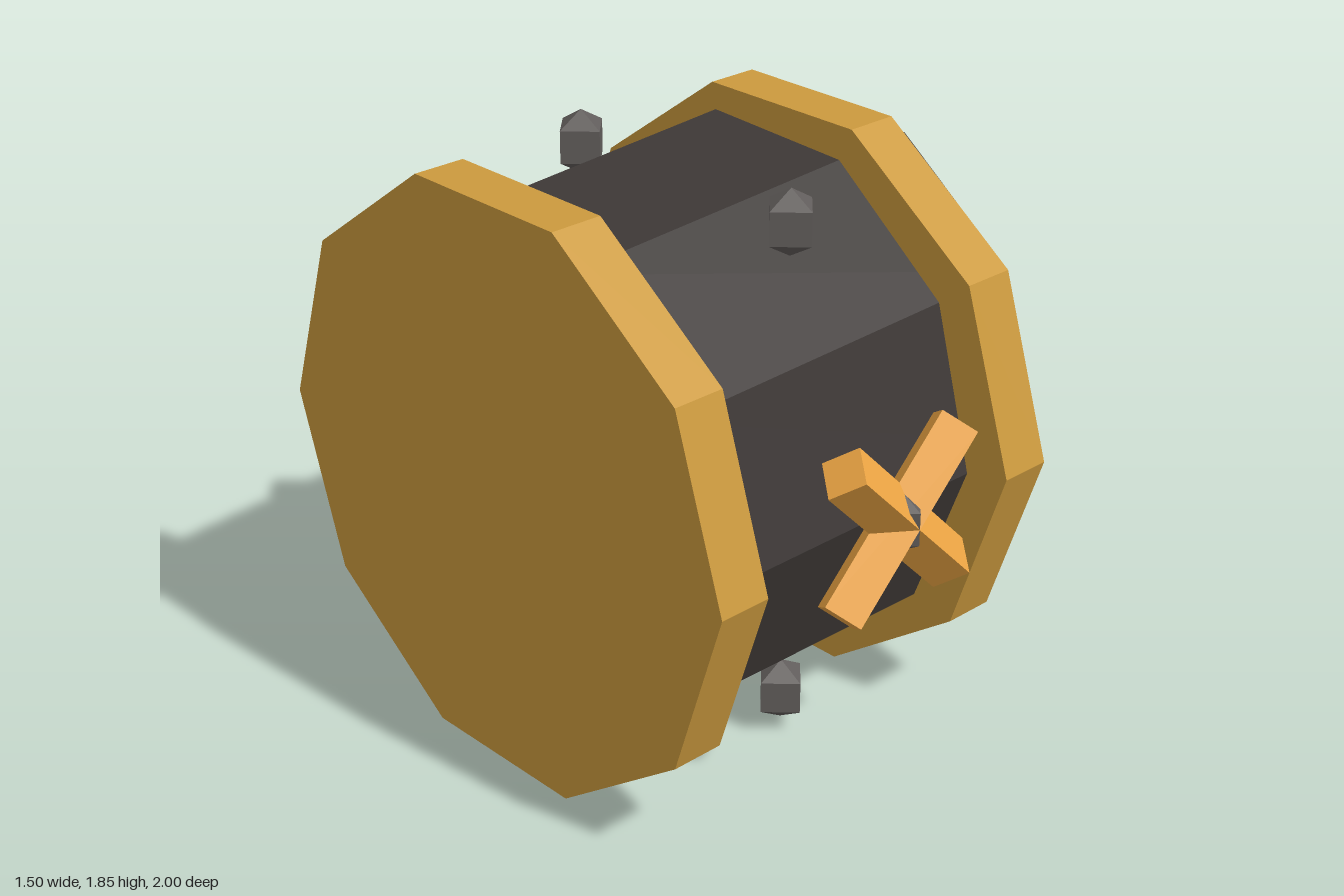
import * as THREE from 'three';

const material = (color) => new THREE.MeshStandardMaterial({ color, flatShading: true });

export function createModel() {
  const model = new THREE.Group();
  const dark = material(0x3d3836);
  const brass = material(0xcc9a3e);
  const gold = material(0xeea644);
  const iron = material(0x625e5c);
  const midY = 0.925;

  const add = (name, geometry, mat, x, y, z) => {
    const mesh = new THREE.Mesh(geometry, mat);
    mesh.name = name;
    mesh.position.set(x, y, z);
    model.add(mesh);
    return mesh;
  };

  // Ten-sided cylinder lying along x, wider end toward +x
  const lyingDecagon = (rEnd, rStart, length, roll = 0) =>
    new THREE.CylinderGeometry(rEnd, rStart, length, 10, 1, false, roll).rotateZ(-Math.PI / 2);

  // Tapered barrel, slightly rolled and skewed
  const barrel = add('barrel', lyingDecagon(0.882, 0.826, 1.41, 0.04), dark, 0.005, midY, -0.032);
  barrel.rotation.y = 0.04;

  // Solid end plate and the band around the open side
  add('endPlate', lyingDecagon(0.9726, 0.9726, 0.175), brass, -0.668, midY, 0);
  add('band', lyingDecagon(0.9726, 0.9726, 0.175), brass, 0.508, midY, 0);

  // Crossed diamond-section bars on the front
  for (const side of [-1, 1]) {
    const bar = add('crossBar', new THREE.CylinderGeometry(0.086, 0.086, 0.664, 4), gold, 0.007, midY, 0.913);
    bar.rotation.z = side * Math.PI / 4;
  }

  // Six upright pointed studs around the middle
  const profile = [[0, -0.105], [0.087, -0.053], [0.087, 0.053], [0, 0.105]]
    .map(([r, y]) => new THREE.Vector2(r, y));
  const studGeometry = new THREE.LatheGeometry(profile, 4);
  for (let i = 0; i < 6; i++) {
    const a = i * Math.PI / 3;
    add('stud', studGeometry, iron, 0.007, midY + 0.79 * Math.sin(a) / Math.sin(Math.PI / 3), 0.912 * Math.cos(a));
  }

  return model;
}
